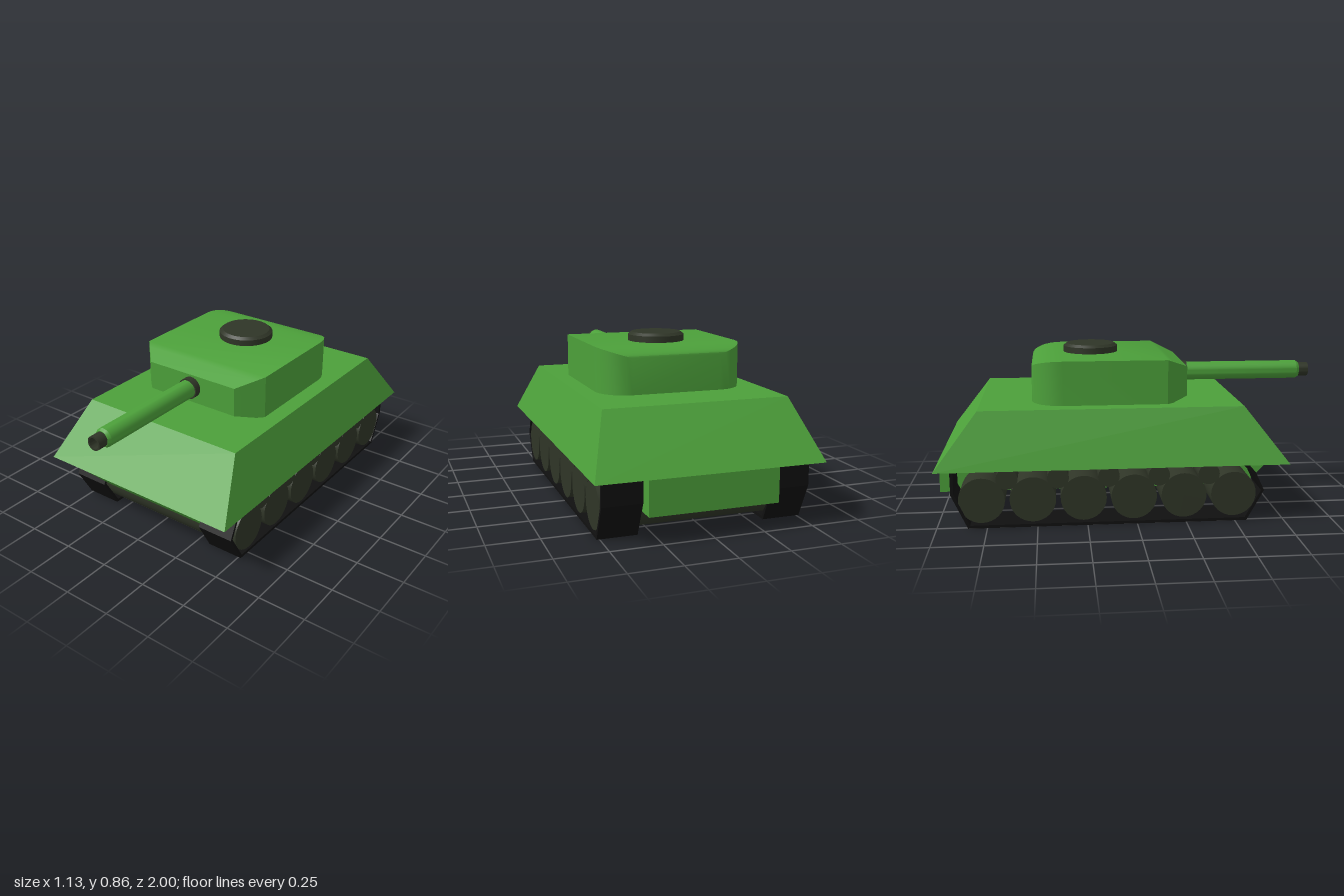
import * as THREE from 'three';
import { toCreasedNormals } from 'three/addons/utils/BufferGeometryUtils.js';

const green = new THREE.MeshStandardMaterial({ color: 0x4ca03a });
const dark = new THREE.MeshStandardMaterial({ color: 0x2f3527 });
const black = new THREE.MeshStandardMaterial({ color: 0x101010 });

// Side profile of [z, y] points, extruded across x and centred on x = 0
function sideExtrude(points, width) {
  const shape = new THREE.Shape(points.map(([z, y]) => new THREE.Vector2(z, y)));
  return new THREE.ExtrudeGeometry(shape, { depth: width, bevelEnabled: false })
    .translate(0, 0, -width / 2)
    .rotateY(-Math.PI / 2);
}

// Lathe from [radius, height] points with crisp edges
function turned(points, segments = 32) {
  const g = new THREE.LatheGeometry(points.map(([r, h]) => new THREE.Vector2(r, h)), segments);
  return toCreasedNormals(g, 0.4);
}

// Rectangular sections { z, w: half width, b: bottom, t: top } joined from back to front
function loft(sections) {
  const pos = [];
  const index = [];
  sections.forEach(({ z, w, b, t }, i) => {
    pos.push(w, b, z, w, t, z, -w, t, z, -w, b, z);
    if (i === 0) return;
    for (let j = 0; j < 4; j++) {
      const k = (j + 1) % 4;
      const p = (i - 1) * 4;
      const q = i * 4;
      index.push(p + j, p + k, q + k, p + j, q + k, q + j);
    }
  });
  const n = (sections.length - 1) * 4;
  index.push(0, 2, 1, 0, 3, 2, n, n + 1, n + 2, n, n + 2, n + 3);
  const g = new THREE.BufferGeometry();
  g.setAttribute('position', new THREE.Float32BufferAttribute(pos, 3));
  g.setIndex(index);
  return toCreasedNormals(g, 0.5);
}

export function createModel() {
  const model = new THREE.Group();
  model.name = 'tank';
  const add = (name, geometry, material, parent = model) => {
    const mesh = new THREE.Mesh(geometry, material);
    mesh.name = name;
    parent.add(mesh);
    return mesh;
  };

  // Upper hull: a box tapered towards its deck
  const hull = new THREE.BoxGeometry(1, 1, 1);
  const p = hull.attributes.position;
  for (let i = 0; i < p.count; i++) {
    const top = p.getY(i) > 0;
    const front = p.getZ(i) > 0;
    p.setXYZ(
      i,
      Math.sign(p.getX(i)) * (top ? 0.465 : 0.563),
      top ? 0.585 : 0.303,
      front ? (top ? 0.545 : 0.765) : (top ? -0.785 : -1)
    );
  }
  hull.computeVertexNormals();
  add('upperHull', hull, green);

  // Lower hull between the tracks, with a sloped nose
  add('lowerHull', sideExtrude([[-1, 0.133], [0.595, 0.133], [0.765, 0.303], [-1, 0.303]], 0.637), green);

  // Tracks: thin open bands that run up under the hull
  const band = [
    [0.545, 0.303], [0.602, 0.252], [0.647, 0.157], [0.56, 0], [-0.845, 0], [-0.925, 0.175], [-0.925, 0.303],
    [-0.91, 0.303], [-0.91, 0.178], [-0.835, 0.015], [0.551, 0.015], [0.632, 0.157], [0.59, 0.245], [0.525, 0.303],
  ];
  for (const side of [1, -1]) {
    const track = add(side > 0 ? 'leftTrack' : 'rightTrack', sideExtrude(band, 0.195), black);
    track.position.x = side * 0.4165;
  }

  // Road wheels and return rollers, each spanning the full width
  const rollers = (name, count, radius, y, firstZ) => {
    const group = new THREE.Group();
    group.name = name;
    const g = new THREE.CylinderGeometry(radius, radius, 1.024, 32).rotateZ(Math.PI / 2);
    for (let i = 0; i < count; i++) {
      add(name.slice(0, -1), g, dark, group).position.set(0, y, firstZ - i * 0.253);
    }
    model.add(group);
  };
  rollers('roadWheels', 6, 0.115, 0.142, 0.49);
  rollers('returnRollers', 5, 0.054, 0.25, 0.363);

  // Turret: rounded, dipping rear and a chamfered front
  const sections = [];
  for (let i = 0; i <= 8; i++) {
    const a = (1 - i / 8) * Math.PI / 2;
    sections.push({
      z: -0.36 - 0.16 * Math.sin(a),
      w: 0.23 + 0.15 * Math.cos(a),
      b: 0.585,
      t: 0.765 + 0.045 * Math.cos(a),
    });
  }
  sections.push(
    { z: 0.168, w: 0.38, b: 0.585, t: 0.81 },
    { z: 0.2, w: 0.35, b: 0.585, t: 0.796 },
    { z: 0.283, w: 0.27, b: 0.605, t: 0.759 }
  );
  add('turret', loft(sections), green);

  // Hatch on the turret roof
  add('hatch', turned([[0, 0.8], [0.145, 0.8], [0.145, 0.842], [0.128, 0.855], [0, 0.855]], 40), dark)
    .position.z = -0.205;

  // Gun: collar, barrel and hollow muzzle along +z
  const gun = new THREE.Group();
  gun.name = 'gun';
  gun.position.y = 0.692;
  gun.rotation.x = Math.PI / 2;
  add('collar', turned([[0, 0.27], [0.056, 0.27], [0.056, 0.318], [0, 0.318]]), dark, gun);
  add('barrel', turned([[0, 0.3], [0.049, 0.3], [0.049, 0.932], [0.04, 0.947], [0, 0.947]]), green, gun);
  add('muzzle', turned([[0.037, 0.94], [0.037, 1], [0.028, 1], [0.028, 0.94]]), dark, gun);
  model.add(gun);

  return model;
}
